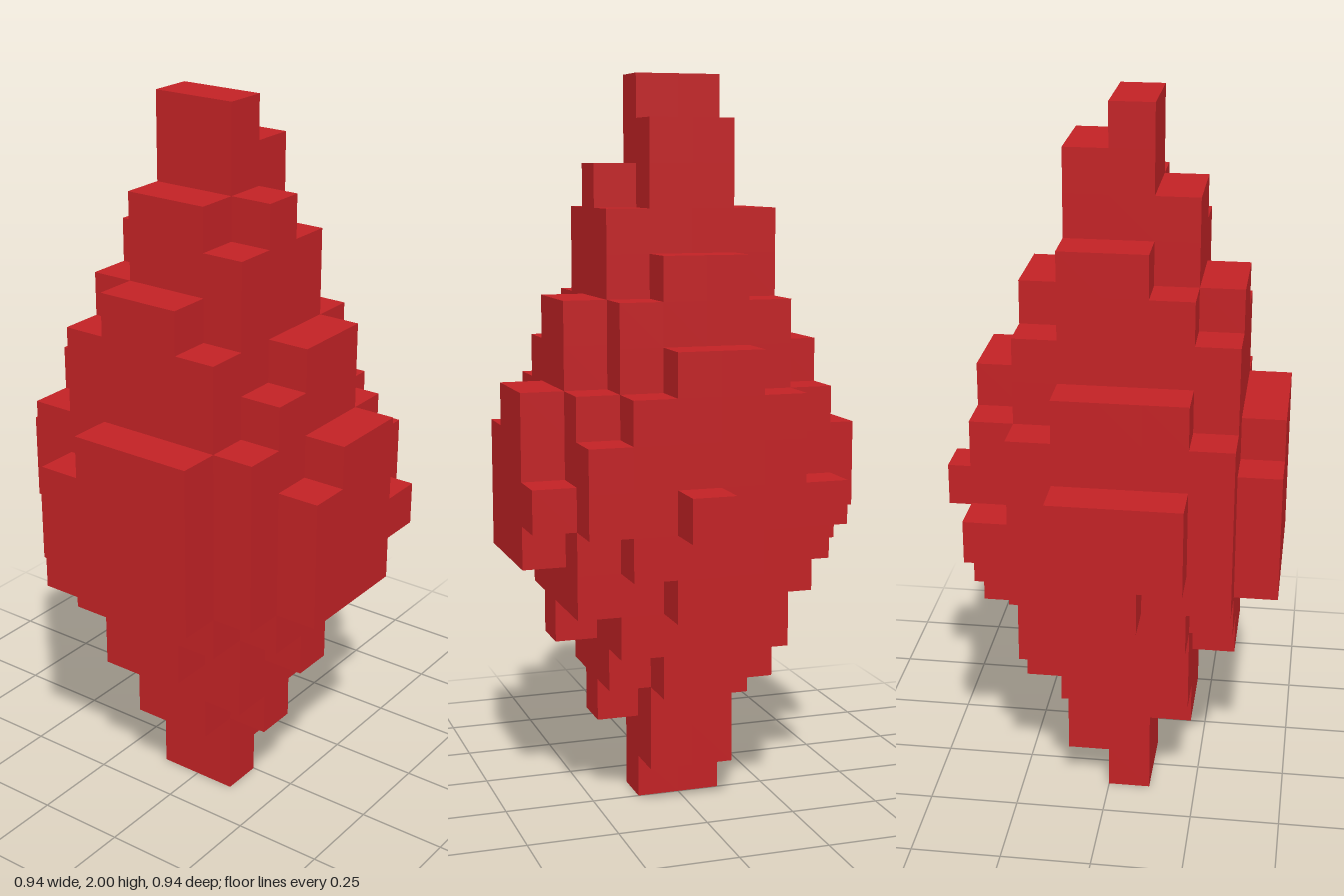
import * as THREE from 'three';

const ROWS = 17;            // height in cells
const U = 2 / ROWS;         // cell size

// Blocks are given in cells as x0, x1, y0, y1, z0, z1
const spindle = [
  [-1, 0, 0, 17, -1, 1],
  [-1, 1, 1, 16, -1, 1],
  [-2, 1, 2, 15, -1, 1],
  [-1, 0, 2, 15, -1, 2],
  [-2, 1, 3, 14, -1, 2],
  [-1, 1, 3, 14, -2, 1],
  [-2, 1, 3, 13, -2, 1],
  [-1, 2, 3, 13, -1, 1],
  [-3, 2, 4, 13, -1, 1],
  [-2, 2, 4, 12, -2, 2],
  [-3, 2, 5, 12, -2, 2],
];
const frontSteps = [
  [-1, 0, 4, 12, 2, 3],
  [-1, 1, 5, 12, 2, 3],
  [-2, 1, 5, 11, 2, 3],
  [-2, 2, 5, 10, 2, 3],
  [-3, 2, 6, 10, 2, 3],
  [-3, 3, 7, 9, 2, 3],
  [-1, 1, 6, 10, 3, 4],
  [-2, 1, 6, 9, 3, 4],
  [-2, 2, 7, 8, 3, 4],
];
const backSteps = [
  [-2, 1, 5, 11, -3, -2],
  [-3, 2, 6, 10, -3, -2],
  [-3, 3, 7, 8, -3, -2],
  [-2, 1, 7, 9, -4, -3],
  [-1, 0, 6, 7, -4, -3],
];
const sideSteps = [
  [2, 3, 5, 11, -1, 1],
  [2, 3, 6, 10, -2, 2],
  [3, 4, 7, 8, 0, 1],
  [-4, -3, 6, 10, -1, 2],
  [-4, -3, 6, 9, -2, 2],
];

// Fill the cells covered by the blocks
function fillCells(blocks) {
  const cells = new Map();
  for (const [x0, x1, y0, y1, z0, z1] of blocks)
    for (let x = x0; x < x1; x++)
      for (let y = y0; y < y1; y++)
        for (let z = z0; z < z1; z++) cells.set(`${x},${y},${z}`, [x, y, z]);
  return cells;
}

// Outer skin: one quad for every cell side without a neighbour
function skin(cells) {
  const positions = [], normals = [], index = [];
  for (const cell of cells.values()) {
    for (let axis = 0; axis < 3; axis++) {
      for (const side of [-1, 1]) {
        const next = [...cell];
        next[axis] += side;
        if (cells.has(next.join())) continue;
        const a = (axis + 1) % 3, b = (axis + 2) % 3;
        const first = positions.length / 3;
        for (const [s, t] of [[0, 0], [1, 0], [1, 1], [0, 1]]) {
          const p = [...cell];
          if (side > 0) p[axis] += 1;
          p[a] += s;
          p[b] += t;
          positions.push(p[0] * U, p[1] * U, p[2] * U);
          const n = [0, 0, 0];
          n[axis] = side;
          normals.push(...n);
        }
        const order = side > 0 ? [0, 1, 2, 0, 2, 3] : [0, 2, 1, 0, 3, 2];
        index.push(...order.map((i) => first + i));
      }
    }
  }
  const geometry = new THREE.BufferGeometry();
  geometry.setAttribute('position', new THREE.Float32BufferAttribute(positions, 3));
  geometry.setAttribute('normal', new THREE.Float32BufferAttribute(normals, 3));
  geometry.setIndex(index);
  return geometry;
}

export function createModel() {
  const group = new THREE.Group();
  group.name = 'blockCrystal';

  const red = new THREE.MeshStandardMaterial({ color: 0xc22225 });
  red.name = 'red';

  const cells = fillCells([...spindle, ...frontSteps, ...backSteps, ...sideSteps]);
  const crystal = new THREE.Mesh(skin(cells), red);
  crystal.name = 'crystal';
  group.add(crystal);
  return group;
}
